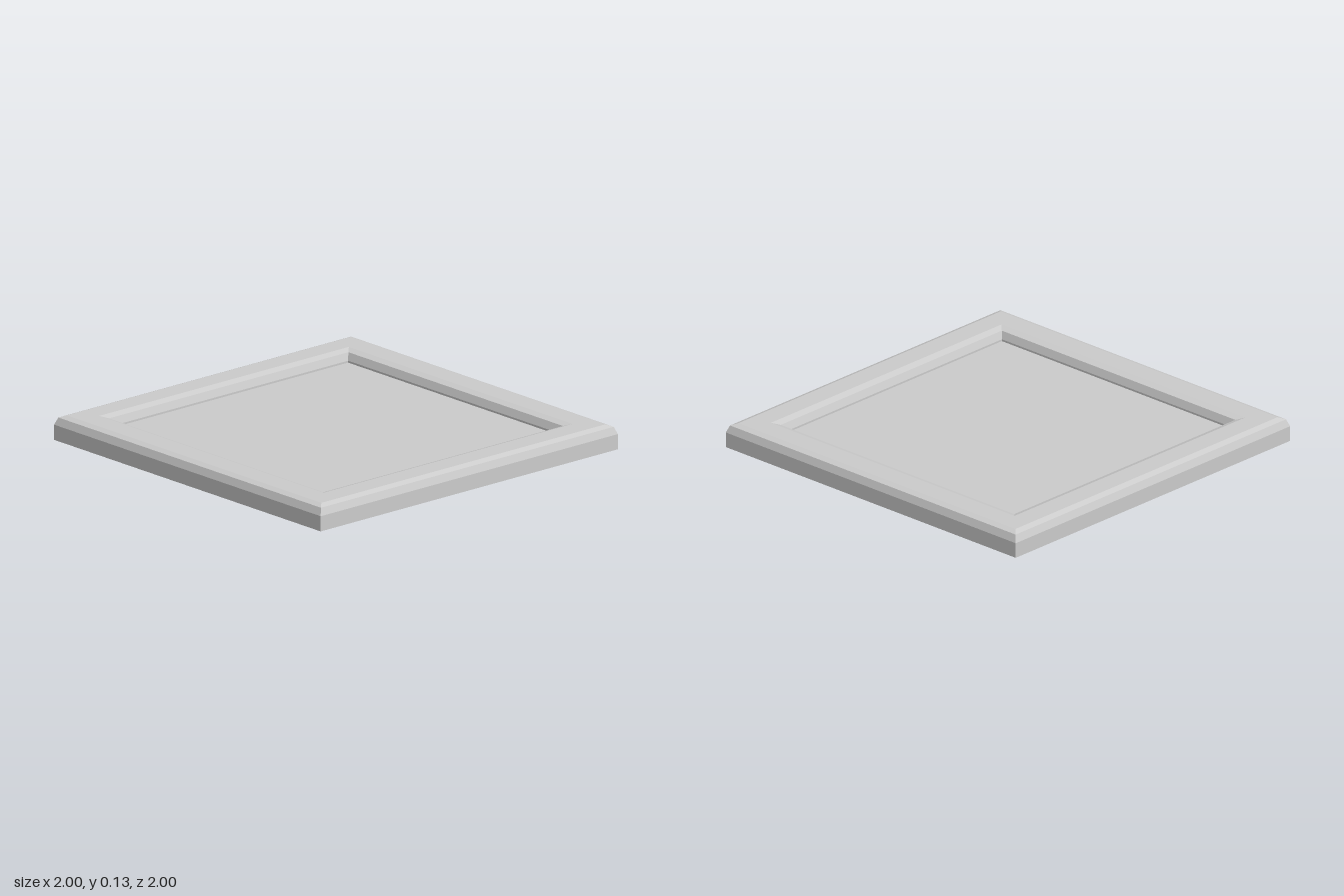
import * as THREE from 'three';

// Half-width and height of each square ring, from the underside round to the recess
const PROFILE = [
  [0.79, 0], [1, 0], [1, 0.08], [0.985, 0.118], [0.955, 0.13],
  [0.84, 0.13], [0.805, 0.118], [0.79, 0.08], [0.79, 0.07],
];

export function createModel() {
  const group = new THREE.Group();
  group.name = 'squareTray';
  const material = new THREE.MeshStandardMaterial({ color: 0xcccccc, flatShading: true });

  // Mitred frame: a four-sided lathe turned so its sides face the axes
  const points = PROFILE.map(([r, y]) => new THREE.Vector2(r * Math.SQRT2, y));
  const frameGeometry = new THREE.LatheGeometry(points, 4, Math.PI / 4).toNonIndexed();
  frameGeometry.computeVertexNormals();
  const frame = new THREE.Mesh(frameGeometry, material);
  frame.name = 'frame';
  group.add(frame);

  // Recessed panel filling the frame, flush with the underside
  const panel = new THREE.Mesh(new THREE.BoxGeometry(1.58, 0.07, 1.58), material);
  panel.name = 'panel';
  panel.position.y = 0.035;
  group.add(panel);

  return group;
}
